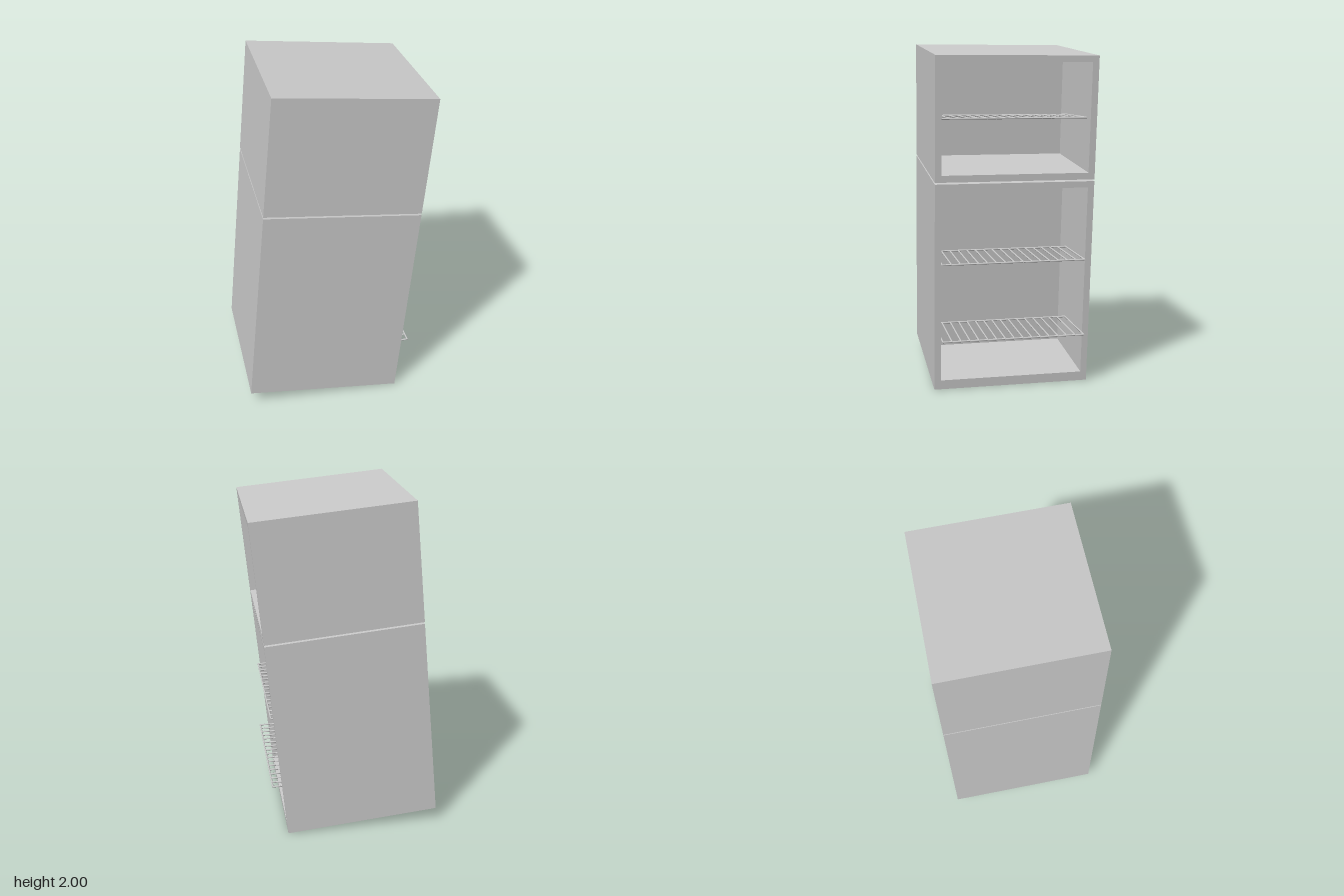
import * as THREE from 'three';

const WIDTH = 0.914, DEPTH = 0.914, WALL = 0.037, TILT = 0.0925;
const material = new THREE.MeshStandardMaterial({ color: 0xcccccc });

function mesh(geometry, name, x = 0, y = 0, z = 0) {
  const m = new THREE.Mesh(geometry, material);
  m.name = name;
  m.position.set(x, y, z);
  return m;
}

function rectangle(path, z, y0, y1) {
  path.moveTo(-z, y0).lineTo(z, y0).lineTo(z, y1).lineTo(-z, y1).closePath();
  return path;
}

// Box compartment open towards +x: outer sleeve plus a thick back filling
function compartment(name, y0, y1, openY0, openY1, openDepth) {
  const group = new THREE.Group();
  group.name = name;
  const inner = DEPTH / 2 - WALL;
  const shape = rectangle(new THREE.Shape(), DEPTH / 2, y0, y1);
  shape.holes.push(rectangle(new THREE.Path(), inner, openY0, openY1));
  const sleeve = new THREE.ExtrudeGeometry(shape, { depth: WIDTH, bevelEnabled: false });
  sleeve.rotateY(Math.PI / 2);
  group.add(mesh(sleeve, 'compartmentShell', -WIDTH));

  const thick = WIDTH - openDepth;
  group.add(mesh(new THREE.BoxGeometry(thick, openY1 - openY0, inner * 2),
    'compartmentBack', -WIDTH + thick / 2, (openY0 + openY1) / 2));
  return group;
}

// Level wire rack: border rods and evenly spaced cross rods
function wireShelf(name, y) {
  const group = new THREE.Group();
  group.name = name;
  group.position.y = y;
  const x0 = 0.03, x1 = 0.455, half = 0.415, r = 0.005, count = 17;
  for (const x of [x0 + r, x1 - r]) {
    const rod = new THREE.CylinderGeometry(r, r, half * 2, 8);
    rod.rotateX(Math.PI / 2);
    group.add(mesh(rod, 'shelfBorderRod', x));
  }
  for (let i = 0; i < count; i++) {
    const rod = new THREE.CylinderGeometry(r, r, x1 - x0 - r, 8);
    rod.rotateZ(Math.PI / 2);
    group.add(mesh(rod, 'shelfWire', (x0 + x1) / 2, 0, -half + (2 * half * i) / (count - 1)));
  }
  return group;
}

export function createModel() {
  const model = new THREE.Group();
  model.name = 'tiltedFridge';

  // Cabinet leaning on its lower +x edge
  const cabinet = new THREE.Group();
  cabinet.name = 'cabinet';
  cabinet.position.x = 0.367;
  cabinet.rotation.z = -TILT;
  cabinet.add(compartment('lowerCompartment', 0, 1.216, 0.055, 1.18, 0.54));
  cabinet.add(compartment('upperCompartment', 1.226, 1.923, 1.265, 1.888, 0.63));
  model.add(cabinet);

  // Shelves stay level while the cabinet leans
  model.add(wireShelf('bottomShelf', 0.305));
  model.add(wireShelf('middleShelf', 0.752));
  model.add(wireShelf('topShelf', 1.57));
  return model;
}
